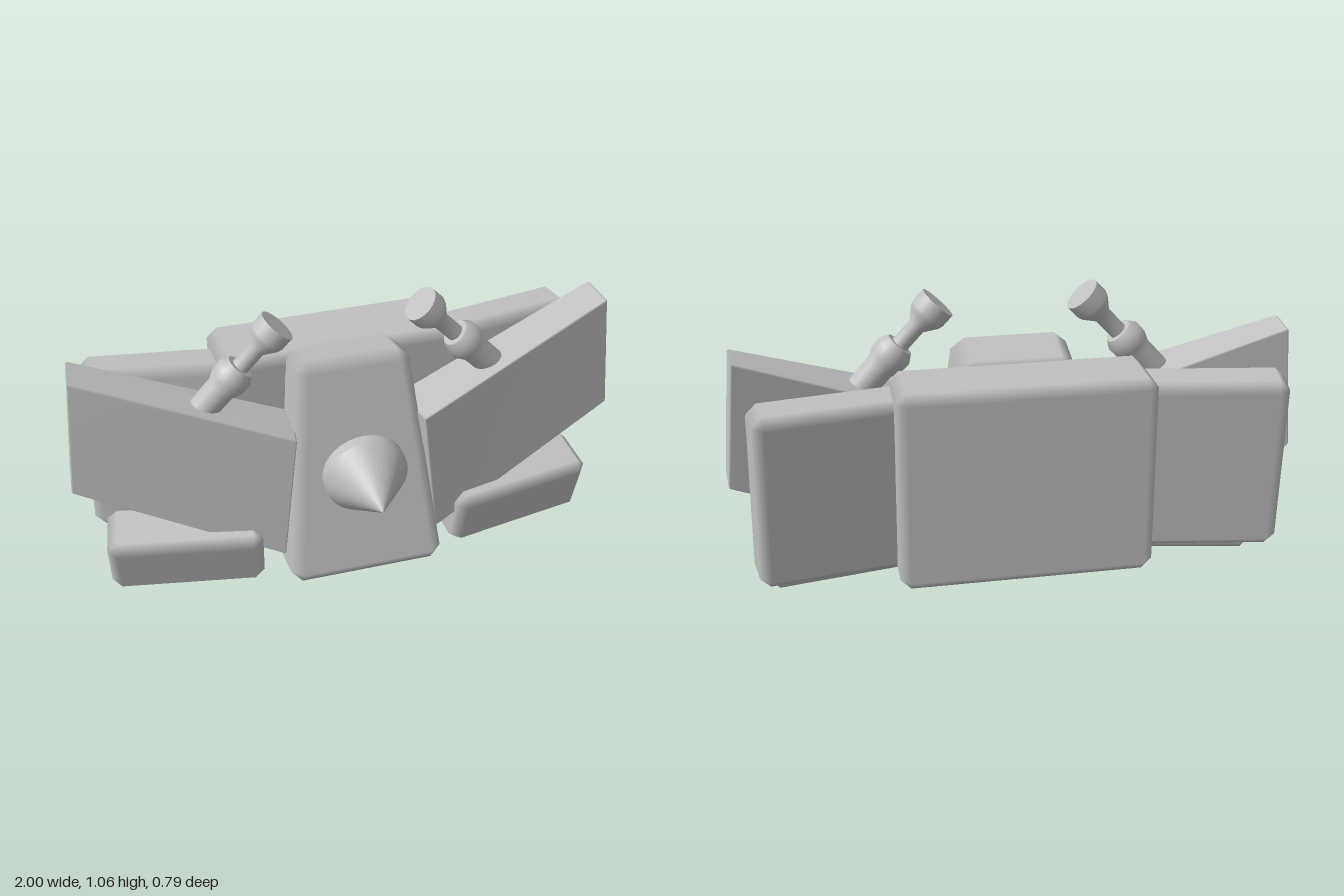
import * as THREE from 'three';
import { ConvexGeometry } from 'three/addons/geometries/ConvexGeometry.js';

const deg = THREE.MathUtils.degToRad;

// Eight corners of a box, index bits: 1 = +x, 2 = +y, 4 = +z; the top can be narrower
function boxCorners(w, h, d, topW = w) {
  const out = [];
  for (let i = 0; i < 8; i++) {
    const half = (i & 2 ? topW : w) / 2;
    out.push([i & 1 ? half : -half, i & 2 ? h / 2 : -h / 2, i & 4 ? d / 2 : -d / 2]);
  }
  return out;
}

// Six-sided block with softly shaded bevels; side -1 mirrors it across x = 0
function block(name, material, corners, bevel, pos = [0, 0, 0], pitch = 0, yaw = 0, side = 1) {
  const c = corners.map(([x, y, z]) => new THREE.Vector3(x * side, y, z));
  const points = [];
  const normals = [];
  c.forEach((p, i) => {
    const along = [1, 2, 4].map((bit) => c[i ^ bit].clone().sub(p).normalize());
    for (let k = 0; k < 3; k++) {
      const a = along[(k + 1) % 3];
      const b = along[(k + 2) % 3];
      const n = a.clone().cross(b).normalize();
      if (n.dot(along[k]) > 0) n.negate();
      points.push(p.clone().addScaledVector(a, bevel).addScaledVector(b, bevel));
      normals.push(n);
    }
  });
  const geometry = new ConvexGeometry(points);

  // Each bevel point takes the normal of its large face, so faces stay flat and bevels blend
  const position = geometry.attributes.position;
  const v = new THREE.Vector3();
  for (let i = 0; i < position.count; i++) {
    v.fromBufferAttribute(position, i);
    const n = normals[points.findIndex((p) => p.distanceToSquared(v) < 1e-8)];
    geometry.attributes.normal.setXYZ(i, n.x, n.y, n.z);
  }

  const mesh = new THREE.Mesh(geometry, material);
  mesh.name = name;
  mesh.position.set(pos[0] * side, pos[1], pos[2]);
  mesh.rotation.set(deg(pitch), deg(yaw) * side, 0, 'YXZ');
  return mesh;
}

// Stepped barrel along +y with its muzzle at the origin: smooth runs between sharp edges
function cannonGeometries() {
  const runs = [
    [[0.05, -0.46], [0.052, -0.3], [0.066, -0.265], [0.068, -0.225], [0.05, -0.195]],
    [[0.05, -0.195], [0, -0.195]],
    [[0.031, -0.2], [0.031, -0.11], [0.062, -0.065], [0.067, -0.05], [0.067, 0]],
    [[0.067, 0], [0, 0]],
  ];
  return runs.map((run) => new THREE.LatheGeometry(run.map(([r, y]) => new THREE.Vector2(r, y)), 24));
}

export function createModel() {
  const model = new THREE.Group();
  model.name = 'armouredHull';
  const grey = new THREE.MeshStandardMaterial({ color: 0xc0c0c0 });
  grey.name = 'light grey';

  // Central body
  model.add(block('rearBlock', grey, boxCorners(0.88, 0.715, 0.282), 0.036, [0, 0.462, -0.25]));
  model.add(block('prow', grey, boxCorners(0.57, 0.84, 0.23, 0.4), 0.042, [0, 0.445, 0.037], -14.6));

  // Front spike on a short disc
  const spike = new THREE.Group();
  spike.name = 'spike';
  const disc = new THREE.Mesh(new THREE.CylinderGeometry(0.15, 0.15, 0.04, 32), grey);
  disc.name = 'spikeDisc';
  disc.position.y = 0.02;
  const cone = new THREE.Mesh(new THREE.ConeGeometry(0.15, 0.2, 32, 1, true), grey);
  cone.name = 'spikeCone';
  cone.position.y = 0.14;
  spike.add(disc, cone);
  spike.position.set(0, 0.48, 0.158);
  spike.rotation.x = Math.PI / 2;
  model.add(spike);

  // Swept wing plate corners, inner to outer
  const wing = [
    [0.24, 0.13, -0.08], [0.99, 0.445, -0.172],
    [0.2, 0.61, -0.08], [0.95, 0.895, -0.184],
    [0.285, 0.13, 0.14], [1.0, 0.45, -0.02],
    [0.23, 0.635, 0.135], [0.962, 0.898, -0.035],
  ];

  for (const side of [1, -1]) {
    const label = side > 0 ? 'left' : 'right';
    model.add(block(label + 'Wing', grey, wing, 0.006, [0, 0, 0], 0, 0, side));
    model.add(block(label + 'RearPanel', grey, boxCorners(0.52, 0.65, 0.172), 0.036, [0.655, 0.458, -0.245], -5.5, 9, side));
    model.add(block(label + 'Foot', grey, boxCorners(0.555, 0.25, 0.215), 0.035, [0.622, 0.14, -0.005], 13, 10, side));

    // Cannon leaning up and inward
    const cannon = new THREE.Group();
    cannon.name = label + 'Cannon';
    for (const geometry of cannonGeometries()) {
      const section = new THREE.Mesh(geometry, grey);
      section.name = 'barrelSection';
      cannon.add(section);
    }
    cannon.position.set(0.25 * side, 1.012, -0.025);
    cannon.rotation.z = deg(43) * side;
    model.add(cannon);
  }
  return model;
}
